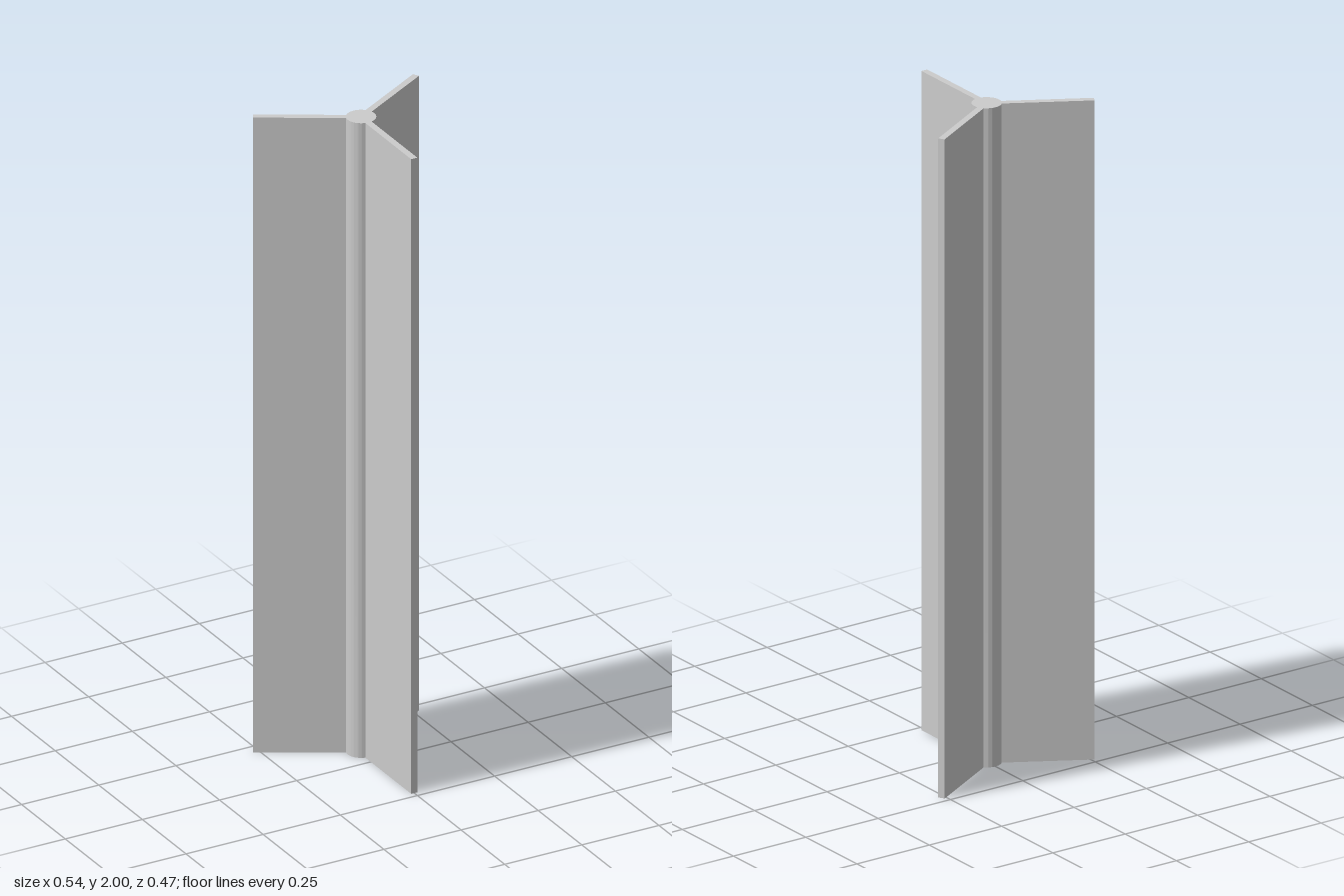
import * as THREE from 'three';
import { toCreasedNormals } from 'three/addons/utils/BufferGeometryUtils.js';

const HEIGHT = 2;
const HUB_RADIUS = 0.043;
const FIN_REACH = 0.305; // hub axis to fin tip
const FIN_HALF = 0.01; // half the fin thickness
const AXIS_Z = -0.073;

export function createModel() {
  const group = new THREE.Group();
  group.name = 'threeFinnedColumn';

  // Cross-section: three fins at 120 degrees, joined by arcs of the round hub
  const section = new THREE.Shape();
  const rootAngle = Math.asin(FIN_HALF / HUB_RADIUS);
  const step = (2 * Math.PI) / 3;
  for (let i = 0; i < 3; i++) {
    const a = -Math.PI / 2 + i * step;
    const tip = (side) => [
      FIN_REACH * Math.cos(a) - side * FIN_HALF * Math.sin(a),
      FIN_REACH * Math.sin(a) + side * FIN_HALF * Math.cos(a),
    ];
    if (i === 0) section.moveTo(...tip(-1));
    else section.lineTo(...tip(-1));
    section.lineTo(...tip(1));
    section.absarc(0, 0, HUB_RADIUS, a + rootAngle, a + step - rootAngle, false);
  }
  section.closePath();

  // Extrude upwards; the hub is smooth, the fin edges stay sharp
  const extruded = new THREE.ExtrudeGeometry(section, {
    depth: HEIGHT,
    bevelEnabled: false,
    curveSegments: 12,
  });
  extruded.rotateX(-Math.PI / 2);
  extruded.translate(0, 0, AXIS_Z);

  const column = new THREE.Mesh(
    toCreasedNormals(extruded, 0.5),
    new THREE.MeshStandardMaterial({ color: 0xcccccc })
  );
  column.name = 'hubWithFins';
  group.add(column);
  return group;
}
